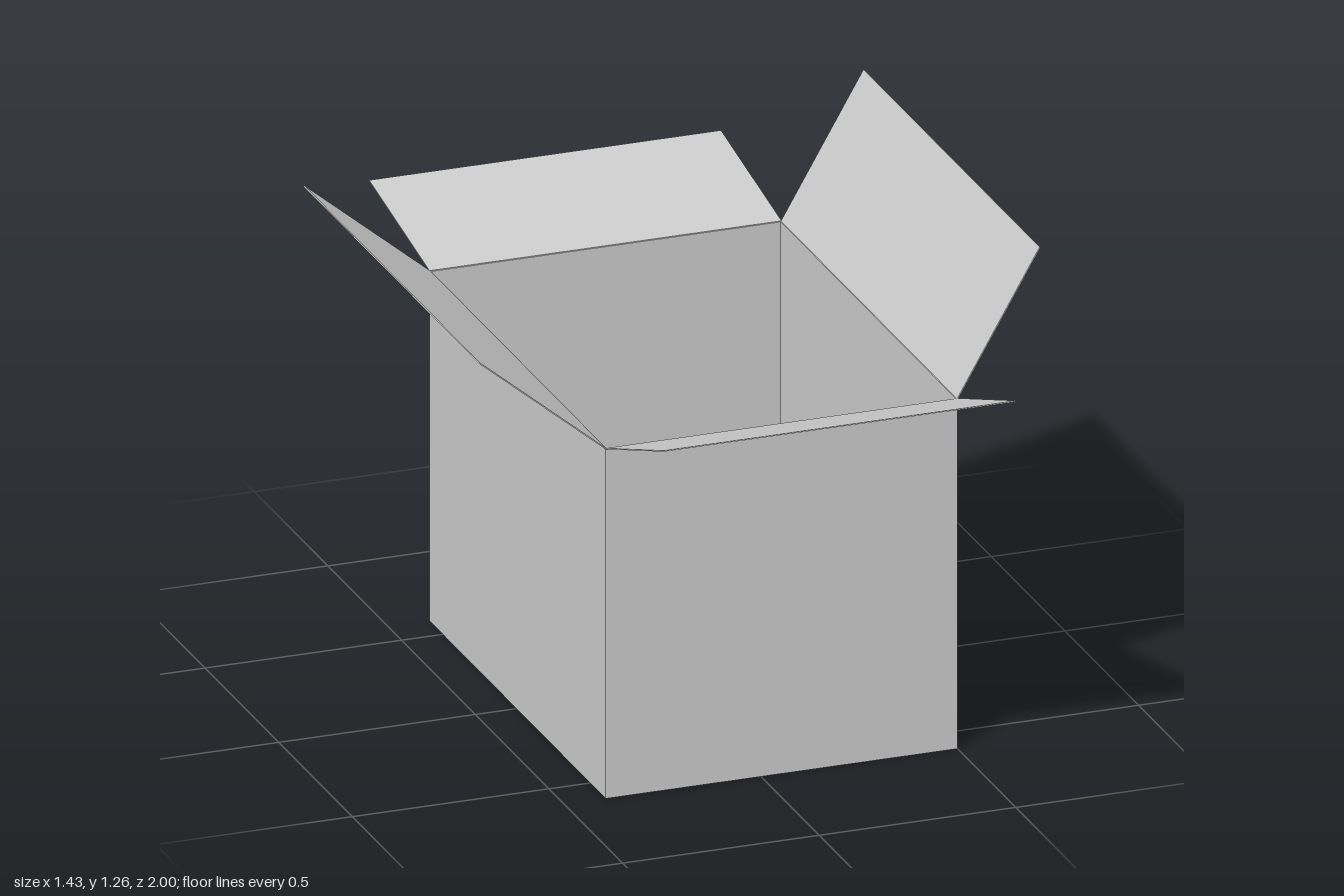
import * as THREE from 'three';

export function createModel() {
  const model = new THREE.Group();
  const material = new THREE.MeshStandardMaterial({ color: 0xcccccc, flatShading: true });
  const T = 0.003; // cardboard thickness
  const H = 0.9; // body height
  const x0 = -0.395, x1 = 0.5, z0 = -0.59, z1 = 0.605;
  const W = x1 - x0, D = z1 - z0;
  const cx = (x0 + x1) / 2, cz = (z0 + z1) / 2;

  function panel(name, w, h, d, x, y, z) {
    const mesh = new THREE.Mesh(new THREE.BoxGeometry(w, h, d), material);
    mesh.name = name;
    mesh.position.set(x, y, z);
    return mesh;
  }

  // Floor and the four walls of the open box
  model.add(
    panel('floor', W, T, D, cx, T / 2, cz),
    panel('leftWall', T, H, D, x1 - T / 2, H / 2, cz),
    panel('rightWall', T, H, D, x0 + T / 2, H / 2, cz),
    panel('frontWall', W, H, T, cx, H / 2, z1 - T / 2),
    panel('backWall', W, H, T, cx, H / 2, z0 + T / 2)
  );

  // Lid flaps: hinged on the rim, turned outward by yaw, reaching out and rising by the given amounts
  const flaps = [
    ['leftFlap', x1, cz, 0, D, 0.21, 0.36],
    ['rightFlap', x0, cz, Math.PI, D, 0.32, 0.265],
    ['frontFlap', cx, z1, -Math.PI / 2, W, 0.395, 0.145],
    ['backFlap', cx, z0, Math.PI / 2, W, 0.41, 0.076]
  ];
  for (const [name, x, z, yaw, width, out, rise] of flaps) {
    const length = Math.hypot(out, rise);
    const hinge = new THREE.Group();
    hinge.name = name;
    hinge.position.set(x, H, z);
    hinge.rotation.set(0, yaw, Math.atan2(rise, out));
    hinge.add(panel(name + 'Panel', length, T, width, length / 2, 0, 0));
    model.add(hinge);
  }

  return model;
}
